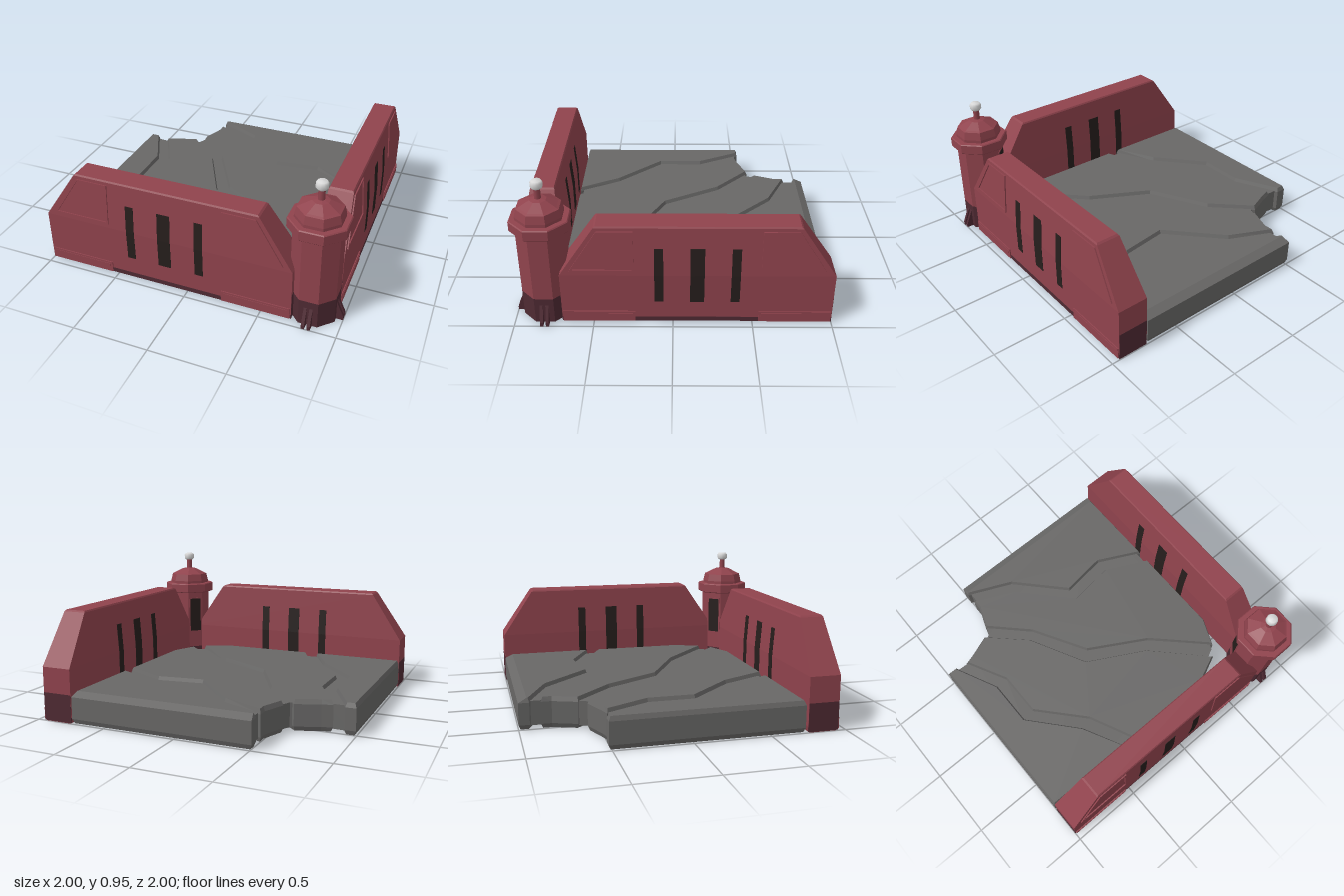
import * as THREE from 'three';

const mat = (name, color) => {
  const m = new THREE.MeshStandardMaterial({ color });
  m.name = name;
  return m;
};

export function createModel() {
  const red = mat('wall red', 0x90434d);
  const darkRed = mat('base dark red', 0x4f2a33);
  const black = mat('slit black', 0x261e1c);
  const grey = mat('floor grey', 0x686766);
  const white = mat('knob white', 0xd8d8d8);

  const add = (parent, name, geo, material, x = 0, y = 0, z = 0) => {
    const m = new THREE.Mesh(geo, material);
    m.name = name;
    m.position.set(x, y, z);
    parent.add(m);
    return m;
  };
  const flat = (geo) => {
    const g = geo.index ? geo.toNonIndexed() : geo;
    g.computeVertexNormals();
    return g;
  };
  const group = (parent, name) => {
    const g = new THREE.Group();
    g.name = name;
    parent.add(g);
    return g;
  };
  const shape = (pts) => new THREE.Shape(pts.map(([x, y]) => new THREE.Vector2(x, y)));

  const model = new THREE.Group();
  model.name = 'wallCorner';

  // Wall body: a box whose levels are narrowed towards the top, with a dark underside
  const levels = [0, 0.01, 0.04, 0.36, 0.69, 0.70];
  const halfLen = [0.845, 0.849, 0.849, 0.849, 0.627, 0.615];
  const halfDepth = [0.092, 0.096, 0.103, 0.103, 0.079, 0.072];
  const wallBody = () => {
    const g = new THREE.BoxGeometry(2, 1, 2, 1, 5, 1);
    const p = g.attributes.position;
    for (let i = 0; i < p.count; i++) {
      const k = Math.round((p.getY(i) + 0.5) * 5);
      p.setXYZ(i, p.getX(i) * halfLen[k], levels[k], p.getZ(i) * halfDepth[k]);
    }
    return flat(g);
  };
  const slope = -Math.atan2(0.024, 0.33);

  // Raised frame around the slanted corner panel
  const panelFrame = (s) => {
    const f = shape([[-0.79, 0.03], [-0.39, 0.03], [-0.39, 0.31], [-0.61, 0.31]].map(([x, y]) => [x * s, y]));
    f.holes.push(new THREE.Path(
      [[-0.765, 0.043], [-0.403, 0.043], [-0.403, 0.297], [-0.603, 0.297]]
        .map(([x, y]) => new THREE.Vector2(x * s, y))));
    return new THREE.ExtrudeGeometry(f, { depth: 0.008, bevelEnabled: false });
  };

  const buildWall = (name) => {
    const wall = group(model, name);
    add(wall, 'wallBody', wallBody(), [red, red, red, darkRed, red, red]);
    // Dark feet on both wall ends
    for (const s of [-1, 1]) {
      add(wall, 'endFoot', new THREE.BoxGeometry(0.006, 0.185, 0.204), darkRed, s * 0.847, 0.0975, 0);
    }
    for (const outer of [true, false]) {
      const side = group(wall, outer ? 'outerSide' : 'innerSide');
      side.rotation.y = outer ? 0 : Math.PI;
      const upper = group(side, 'upperSide');
      upper.position.set(0, 0.36, 0.103);
      upper.rotation.x = slope;
      // Window slits, bent with the wall face
      for (const [x, w] of [[-0.237, 0.056], [0, 0.088], [0.237, 0.056]]) {
        add(side, 'slit', new THREE.BoxGeometry(w, 0.2, 0.006), black, x, 0.261, 0.102);
        add(upper, 'slit', new THREE.BoxGeometry(w, 0.192, 0.006), black, x, 0.095, -0.001);
      }
      if (!outer) continue;
      // Outer panels, foot trims and the dark strip between the trims
      for (const s of [-1, 1]) {
        add(upper, 'panelFrame', panelFrame(s), red);
        add(side, 'footTrim', new THREE.BoxGeometry(0.455, 0.075, 0.014), red, s * 0.615, 0.0475, 0.103);
        add(side, 'footTrimInset', new THREE.BoxGeometry(0.425, 0.025, 0.008), red, s * 0.615, 0.06, 0.109);
      }
      add(side, 'footStrip', new THREE.BoxGeometry(0.775, 0.032, 0.008), darkRed, 0, 0.024, 0.1);
    }
    return wall;
  };
  buildWall('frontWall').position.set(-0.15, 0, 0.845);
  const sideWall = buildWall('leftWall');
  sideWall.position.set(0.845, 0, -0.15);
  sideWall.rotation.y = Math.PI / 2;

  // Floor: four bevelled plates, given as x, z, with a lower core showing in the cracks
  const floor = group(model, 'floor');
  const slab = (pts, y0, y1, bevel, rise) => {
    const g = new THREE.ExtrudeGeometry(shape(pts.map(([x, z]) => [x, -z])), {
      depth: y1 - y0 - 2 * rise, bevelEnabled: bevel > 0, bevelSize: bevel,
      bevelOffset: -bevel, bevelThickness: rise, bevelSegments: 1,
    });
    g.rotateX(-Math.PI / 2);
    g.translate(0, y0 + rise, 0);
    // Wider bevel along the open back edge
    const p = g.attributes.position;
    for (let i = 0; i < p.count; i++) {
      if (p.getY(i) > 0.205 && p.getZ(i) < -0.96) p.setZ(i, -0.945);
    }
    return flat(g);
  };
  const plates = [
    [[-0.51, -1], [0.735, -1], [0.735, -0.35], [0.43, -0.5], [0.11, -0.46], [-0.2, -0.79], [-0.51, -0.93]],
    [[-0.51, -0.86], [-0.21, -0.72], [0.11, -0.38], [0.43, -0.42], [0.735, -0.27], [0.735, 0.38], [0.65, 0.57],
      [0.3, 0.23], [-0.1, 0], [-0.32, -0.38], [-0.57, -0.63], [-0.51, -0.79]],
    [[-0.62, -0.58], [-0.37, -0.34], [-0.16, 0.06], [0.24, 0.28], [0.59, 0.64], [0.4, 0.725], [-0.27, 0.725],
      [-0.42, 0.41], [-0.7, 0.1], [-0.7, -0.21], [-0.85, -0.5], [-0.78, -0.52]],
    [[-1, -0.52], [-0.93, -0.52], [-0.78, -0.21], [-0.78, 0.11], [-0.5, 0.43], [-0.35, 0.725], [-1, 0.725]],
  ];
  plates.forEach((pts) => add(floor, 'floorPlate', slab(pts, 0.005, 0.21, 0.012, 0.03), grey));
  const core = [[-0.49, -0.97], [0.71, -0.97], [0.71, 0.37], [0.62, 0.59], [0.39, 0.7], [-0.97, 0.7],
    [-0.97, -0.5], [-0.78, -0.49], [-0.59, -0.57], [-0.49, -0.79]];
  add(floor, 'floorCore', slab(core, 0.025, 0.185, 0, 0), grey);

  // Corner tower: octagonal rings sized by the distance to their flat sides
  const tower = group(model, 'tower');
  tower.position.set(0.808, 0, 0.808);
  const octagon = (name, profile, material) => {
    const pts = profile.map(([r, y]) => new THREE.Vector2(r / Math.cos(Math.PI / 8), y));
    const g = new THREE.LatheGeometry(pts, 8);
    g.rotateY(Math.PI / 8);
    return add(tower, name, flat(g), material);
  };
  octagon('towerBase', [[0, 0], [0.147, 0], [0.147, 0.18]], darkRed);
  octagon('towerShaft', [[0.147, 0.18], [0.147, 0.65]], red);
  octagon('towerRing', [[0.14, 0.637], [0.174, 0.637], [0.18, 0.643], [0.18, 0.704], [0.174, 0.71], [0.13, 0.71]], red);
  octagon('towerRoof', [[0.142, 0.705], [0.142, 0.73], [0.13, 0.783], [0.115, 0.79], [0.05, 0.825], [0, 0.835]], red);
  add(tower, 'neck', new THREE.CylinderGeometry(0.021, 0.021, 0.09, 10), red, 0, 0.865, 0);
  const knob = [[0, 0.9], [0.03, 0.9], [0.039, 0.912], [0.039, 0.938], [0.03, 0.952], [0, 0.955]];
  add(tower, 'knob', new THREE.LatheGeometry(knob.map(([r, y]) => new THREE.Vector2(r, y)), 12), white);

  // Doorway slit on the tower's inner diagonal face
  const door = group(tower, 'doorway');
  door.rotation.y = -Math.PI * 3 / 4;
  add(door, 'doorFrame', new THREE.BoxGeometry(0.108, 0.29, 0.008), red, 0, 0.45, 0.146);
  add(door, 'doorSlit', new THREE.BoxGeometry(0.088, 0.27, 0.008), black, 0, 0.45, 0.148);

  // Paired wedge fins at the foot of the two outer faces
  const finShape = shape([[0, 0], [0.192, 0], [0.192, 0.025], [0.147, 0.13], [0, 0.13]]);
  for (const turn of [0, -Math.PI / 2]) {
    const fins = group(tower, 'footFins');
    fins.rotation.y = turn;
    for (const z of [-0.018, 0.018]) {
      const g = new THREE.ExtrudeGeometry(finShape, { depth: 0.02, bevelEnabled: false });
      add(fins, 'footFin', g, darkRed, 0, 0, z - 0.01);
    }
  }
  return model;
}
